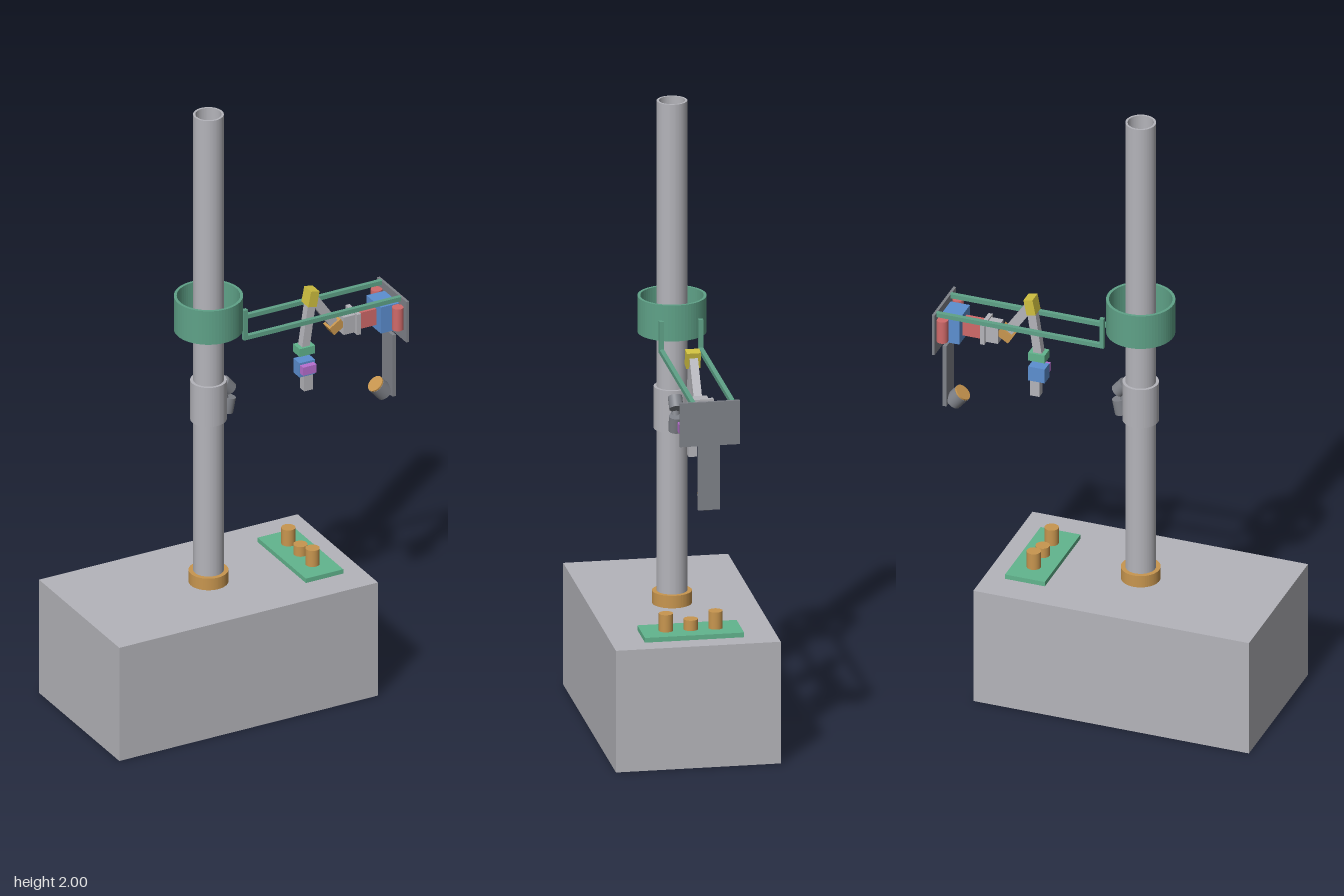
import * as THREE from 'three';

const material = (name, color) => {
  const m = new THREE.MeshStandardMaterial({ color });
  m.name = name;
  return m;
};

export function createModel() {
  const model = new THREE.Group();
  model.name = 'robotStand';
  const grey = material('light grey', 0xb4b4ba);
  const dark = material('dark grey', 0x7f8289);
  const brown = material('tan', 0xc8964f);
  const ringGreen = material('deep green', 0x5fa288);
  const padGreen = material('green', 0x62b58e);
  const blue = material('blue', 0x5c8fd0);
  const red = material('red', 0xd06a6a);
  const yellow = material('yellow', 0xd0c040);
  const purple = material('purple', 0xb870d0);

  const add = (name, geometry, mat, x, y, z, tilt = 0) => {
    const mesh = new THREE.Mesh(geometry, mat);
    mesh.name = name;
    mesh.position.set(x, y, z);
    mesh.rotation.z = tilt;
    model.add(mesh);
    return mesh;
  };
  // Box from its extents on each axis
  const box = (name, mat, [x0, x1], [y0, y1], [z0, z1]) =>
    add(name, new THREE.BoxGeometry(x1 - x0, y1 - y0, z1 - z0), mat,
      (x0 + x1) / 2, (y0 + y1) / 2, (z0 + z1) / 2);
  const cylinder = (name, mat, r, h, x, y, z, tilt = 0) =>
    add(name, new THREE.CylinderGeometry(r, r, h, 32), mat, x, y, z, tilt);
  // Upright hollow tube around the column axis
  const tube = (name, mat, outer, inner, y0, y1) => {
    const shape = new THREE.Shape().absarc(0, 0, outer, 0, Math.PI * 2);
    shape.holes.push(new THREE.Path().absarc(0, 0, inner, 0, Math.PI * 2, true));
    const geo = new THREE.ExtrudeGeometry(shape,
      { depth: y1 - y0, bevelEnabled: false, curveSegments: 32 });
    geo.rotateX(-Math.PI / 2);
    return add(name, geo, mat, -0.1, y0, 0);
  };
  // Square bar between two points in the plane z = 0
  const link = (name, mat, [x0, y0], [x1, y1], thick, width) =>
    add(name, new THREE.BoxGeometry(thick, Math.hypot(x1 - x0, y1 - y0), width), mat,
      (x0 + x1) / 2, (y0 + y1) / 2, 0, Math.atan2(x0 - x1, y1 - y0));

  // Base, column and its collars
  box('base', grey, [-0.55, 0.35], [0, 0.39], [-0.256, 0.256]);
  tube('column', grey, 0.047, 0.04, 0.39, 2);
  tube('footCollar', brown, 0.061, 0.046, 0.39, 0.43);
  tube('slidingCollar', grey, 0.056, 0.046, 0.95, 1.085);
  tube('supportRing', ringGreen, 0.106, 0.097, 1.26, 1.375);

  // Clamp knob on the sliding collar
  cylinder('clampStem', dark, 0.014, 0.06, -0.05, 1.02, 0, 0.3);
  cylinder('clampKnobUpper', dark, 0.022, 0.04, -0.037, 1.05, 0, 0.7);
  cylinder('clampKnobLower', dark, 0.022, 0.05, -0.034, 0.985, 0, -0.2);

  // Control panel with three buttons
  box('controlPanel', padGreen, [0.155, 0.285], [0.39, 0.405], [-0.154, 0.154]);
  for (const [z, h] of [[-0.077, 0.055], [0, 0.033], [0.077, 0.055]])
    cylinder('button', brown, 0.022, h, 0.22, 0.405 + h / 2, z);

  // Two rails from the ring to the end plate
  for (const z of [-0.071, 0.051]) {
    box('rail', ringGreen, [-0.008, 0.54], [1.222, 1.236], [z - 0.007, z + 0.007]);
    box('railPost', ringGreen, [-0.008, 0.006], [1.222, 1.325], [z - 0.007, z + 0.007]);
  }

  // End plate, drive and side rollers
  box('endPlate', dark, [0.538, 0.547], [1.095, 1.235], [-0.093, 0.093]);
  box('driveHousing', blue, [0.475, 0.538], [1.12, 1.21], [-0.046, 0.046]);
  for (const z of [-0.068, 0.068])
    cylinder('sideRoller', red, 0.018, 0.075, 0.522, 1.173, z);

  // Hanging strip with tilted sensor
  box('sensorStrip', dark, [0.522, 0.534], [0.885, 1.097], [-0.034, 0.034]);
  cylinder('sensorBody', dark, 0.028, 0.045, 0.498, 0.905, 0, 0.72);
  cylinder('sensorLens', brown, 0.027, 0.008, 0.4825, 0.923, 0, 0.72);

  // Jointed arm
  box('shoulderMotor', red, [0.41, 0.475], [1.137, 1.192], [-0.017, 0.017]);
  box('shoulderFlange', grey, [0.397, 0.411], [1.13, 1.2], [-0.037, 0.037]);
  box('shoulderBlock', grey, [0.357, 0.397], [1.135, 1.195], [-0.025, 0.025]);
  link('shoulderJoint', brown, [0.357, 1.178], [0.318, 1.153], 0.03, 0.042);
  link('upperLink', grey, [0.338, 1.165], [0.258, 1.282], 0.03, 0.026);
  link('elbowJoint', yellow, [0.25, 1.257], [0.26, 1.308], 0.03, 0.044);
  link('lowerLink', grey, [0.255, 1.275], [0.232, 1.118], 0.027, 0.026);

  // Wrist and tool
  box('wristBlock', padGreen, [0.206, 0.26], [1.095, 1.122], [-0.021, 0.021]);
  box('toolBody', blue, [0.206, 0.26], [1.024, 1.073], [-0.02, 0.02]);
  box('toolFrontBlock', purple, [0.208, 0.255], [1.038, 1.066], [0.02, 0.039]);
  box('toolTip', grey, [0.226, 0.256], [0.968, 1.024], [-0.013, 0.013]);
  return model;
}
